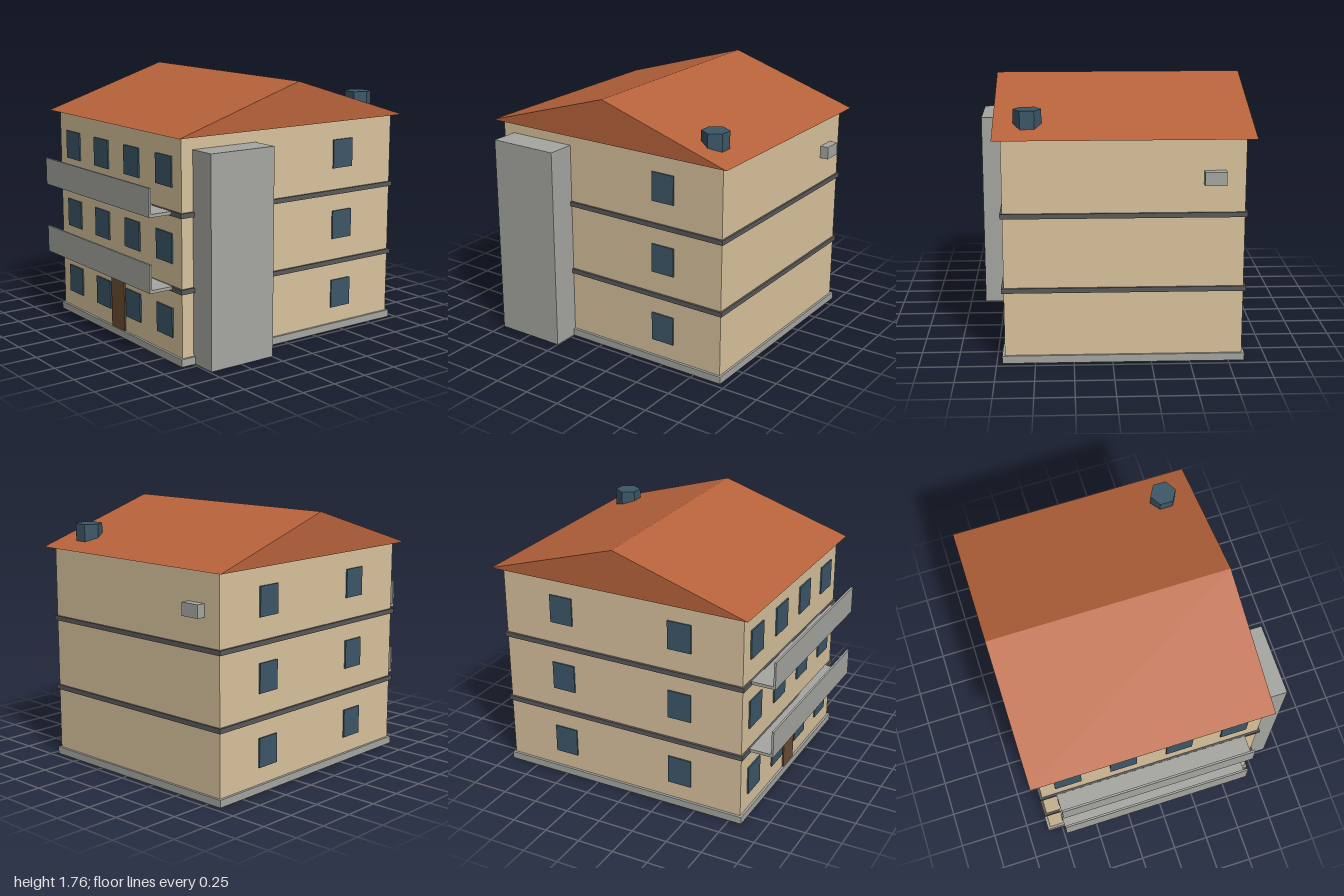
import * as THREE from 'three';

const mat = (name, hex) => {
  const m = new THREE.MeshStandardMaterial({ color: hex });
  m.name = name;
  return m;
};

export function createModel() {
  const house = new THREE.Group();
  house.name = 'apartmentBlock';

  const plaster = mat('tan plaster', 0xd9c39d);
  const roofTile = mat('terracotta roof', 0xb8633b);
  const concrete = mat('grey concrete', 0xa6a6a1);
  const trim = mat('dark grey trim', 0x5a5a5a);
  const glass = mat('blue grey glass', 0x3c5768);
  const wood = mat('brown wood', 0x6b4e34);
  const magenta = mat('magenta underside', 0xe000e0);

  // Box given by its minimum and maximum on each axis
  const box = (name, material, [x0, x1], [y0, y1], [z0, z1]) => {
    const mesh = new THREE.Mesh(new THREE.BoxGeometry(x1 - x0, y1 - y0, z1 - z0), material);
    mesh.position.set((x0 + x1) / 2, (y0 + y1) / 2, (z0 + z1) / 2);
    mesh.name = name;
    house.add(mesh);
  };

  const wallX = [-0.837, 0.697], wallZ = [-0.942, 0.824];
  const plate = 0.0098;

  // Plinth with a magenta underside, walls and the bands between the storeys
  const plinthSides = [concrete, concrete, concrete, magenta, concrete, concrete];
  box('plinth', plinthSides, [-0.855, 0.714], [0, 0.05], [-0.957, 0.84]);
  box('walls', plaster, wallX, [0.05, 1.472], wallZ);
  for (const y of [0.474, 0.964]) {
    box('floorBand', trim, [-0.853, 0.712], [y, y + 0.032], [-0.955, 0.838]);
  }

  // Gable roof: triangular section extruded along x
  const z0 = -0.998, z1 = 0.875, eave = 1.472, x0 = -0.897, x1 = 0.752;
  const section = new THREE.Shape([
    new THREE.Vector2(-z1, eave),
    new THREE.Vector2(-z0, eave),
    new THREE.Vector2(-(z0 + z1) / 2, 1.763),
  ]);
  const roofGeo = new THREE.ExtrudeGeometry(section, { depth: x1 - x0, bevelEnabled: false });
  roofGeo.rotateY(Math.PI / 2).translate(x0, 0, 0);
  const roof = new THREE.Mesh(roofGeo, roofTile);
  roof.name = 'roof';
  house.add(roof);

  // Windows on three floors: four in front, two on the -x wall, one beside the tower
  for (const y of [0.163, 0.653, 1.145]) {
    const h = [y, y + 0.196];
    for (const x of [-0.647, -0.264, 0.122, 0.505]) {
      box('frontWindow', glass, [x - 0.091, x + 0.091], h, [wallZ[1], wallZ[1] + plate]);
    }
    for (const z of [-0.498, 0.38]) {
      box('sideWindow', glass, [wallX[0] - plate, wallX[0]], h, [z - 0.084, z + 0.084]);
    }
    box('towerSideWindow', glass, [wallX[1], wallX[1] + plate], h, [-0.582, -0.414]);
  }

  // Entrance door
  box('door', wood, [-0.153, 0.013], [0.05, 0.394], [wallZ[1], wallZ[1] + plate]);

  // Balconies: open-ended floor with a parapet along the front
  for (const y of [0.485, 0.973]) {
    box('balconyFloor', concrete, [-0.739, 0.601], [y, y + 0.021], [wallZ[1], 0.986]);
    box('balconyParapet', concrete, [-0.739, 0.601], [y, y + 0.187], [0.986, 1]);
  }

  // Lift tower and wall unit at the back
  box('liftTower', concrete, [wallX[1], 0.892], [0, 1.388], [0.248, 0.738]);
  box('airConditioner', concrete, [-0.71, -0.572], [1.18, 1.266], [-1, wallZ[0]]);

  // Hexagonal water tank on the rear slope
  const tank = new THREE.Mesh(new THREE.CylinderGeometry(0.09, 0.09, 0.13, 6).toNonIndexed(), glass);
  tank.geometry.computeVertexNormals();
  tank.rotation.y = Math.PI / 2;
  tank.position.set(0.534, 1.568, -0.779);
  tank.name = 'waterTank';
  house.add(tank);

  return house;
}
